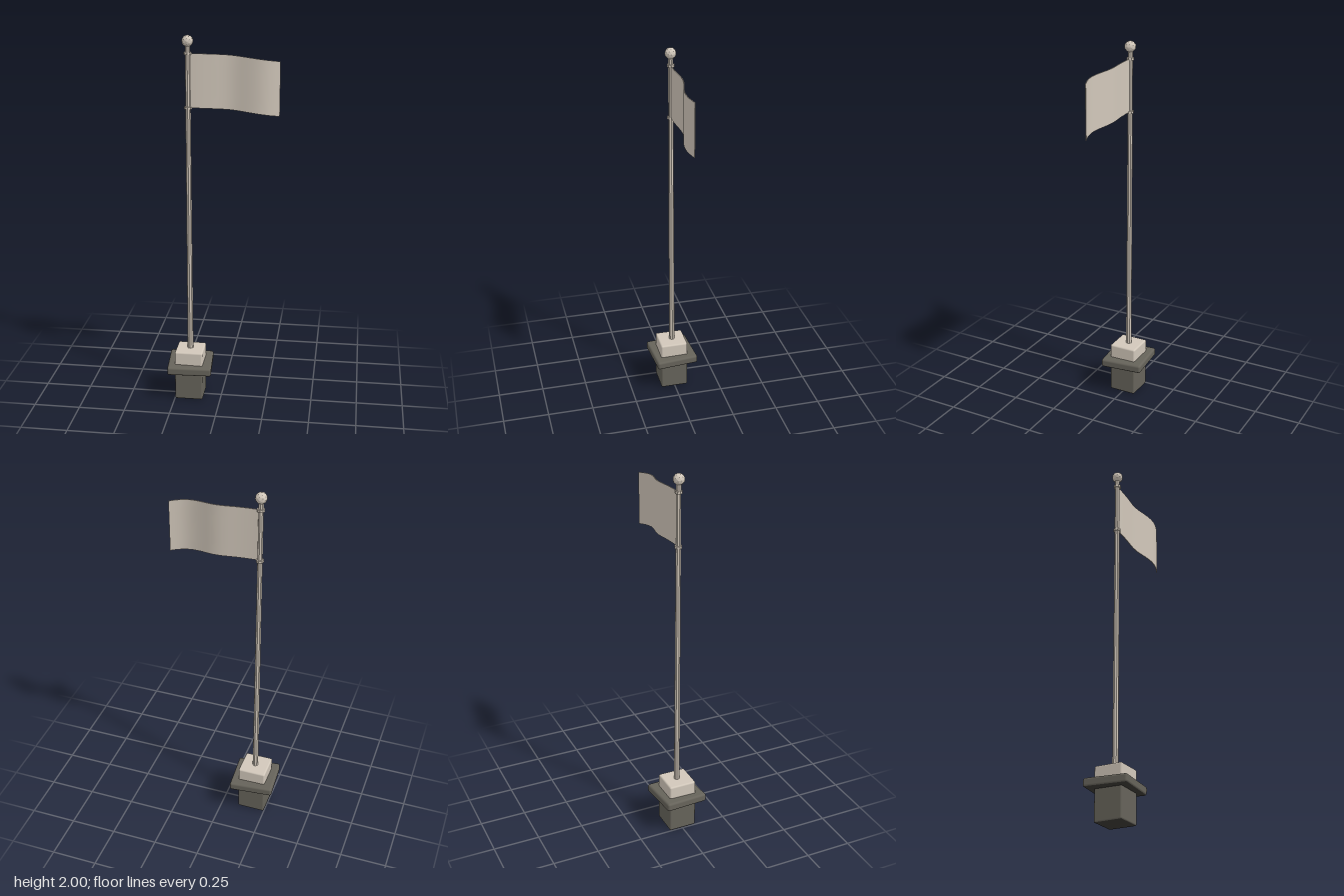
import * as THREE from 'three';
import { RoundedBoxGeometry } from 'three/addons/geometries/RoundedBoxGeometry.js';

const POLE_X = -0.172;

export function createModel() {
  const model = new THREE.Group();
  model.name = 'flagpole';

  const pale = new THREE.MeshStandardMaterial({ color: 0xd1c7ba });
  pale.name = 'pale stone';
  const paleFacet = pale.clone();
  paleFacet.flatShading = true;
  paleFacet.name = 'pale faceted';
  const dark = new THREE.MeshStandardMaterial({ color: 0x66635a });
  dark.name = 'dark stone';
  const under = new THREE.MeshStandardMaterial({ color: 0x3a3833 });
  under.name = 'shadowed stone';
  // Box sides in order +x, -x, +y, -y, +z, -z
  const darkSides = [dark, dark, dark, under, dark, dark];

  const add = (name, geometry, material, x, y, z = 0) => {
    const mesh = new THREE.Mesh(geometry, material);
    mesh.name = name;
    mesh.position.set(x, y, z);
    model.add(mesh);
    return mesh;
  };

  // Base: dark foot, slightly turned slab, pale cap
  add('foot', new RoundedBoxGeometry(0.153, 0.2, 0.153, 2, 0.009), darkSides, POLE_X, 0.1, 0.002);
  const slab = add('slab', new RoundedBoxGeometry(0.24, 0.046, 0.236, 2, 0.012), darkSides, POLE_X, 0.186);
  slab.rotation.set(0.02, 0.075, -0.02);
  add('cap', new RoundedBoxGeometry(0.153, 0.11, 0.153, 2, 0.009), pale, POLE_X, 0.226, 0.002);

  // Pole, collars and finial
  add('pole', new THREE.CylinderGeometry(0.013, 0.016, 1.68, 8), paleFacet, POLE_X, 1.11);
  for (const y of [1.628, 1.907]) {
    add('collar', new THREE.CylinderGeometry(0.02, 0.02, 0.013, 8), paleFacet, POLE_X, y);
  }
  add('finial', new THREE.IcosahedronGeometry(0.03, 1), paleFacet, POLE_X, 1.97, 0.001);

  // Flag: thin slab waved in z and drooping towards the free end
  const wave = new THREE.SplineCurve([
    [-0.168, 0], [-0.12, 0], [-0.05, -0.004], [0.02, -0.01], [0.075, -0.006],
    [0.13, 0.008], [0.19, 0.019], [0.245, 0.015], [0.298, -0.003],
  ].map(([x, z]) => new THREE.Vector2(x, z)));
  const flag = new THREE.BoxGeometry(1, 0.279, 0.004, 16, 4, 1);
  const p = flag.attributes.position;
  for (let i = 0; i < p.count; i++) {
    const t = p.getX(i) + 0.5;
    const c = wave.getPoint(t);
    p.setXYZ(i, c.x, p.getY(i) + 1.768 - 0.033 * t * t, c.y + p.getZ(i));
  }
  flag.computeVertexNormals();
  add('flag', flag, pale, 0, 0);

  return model;
}
